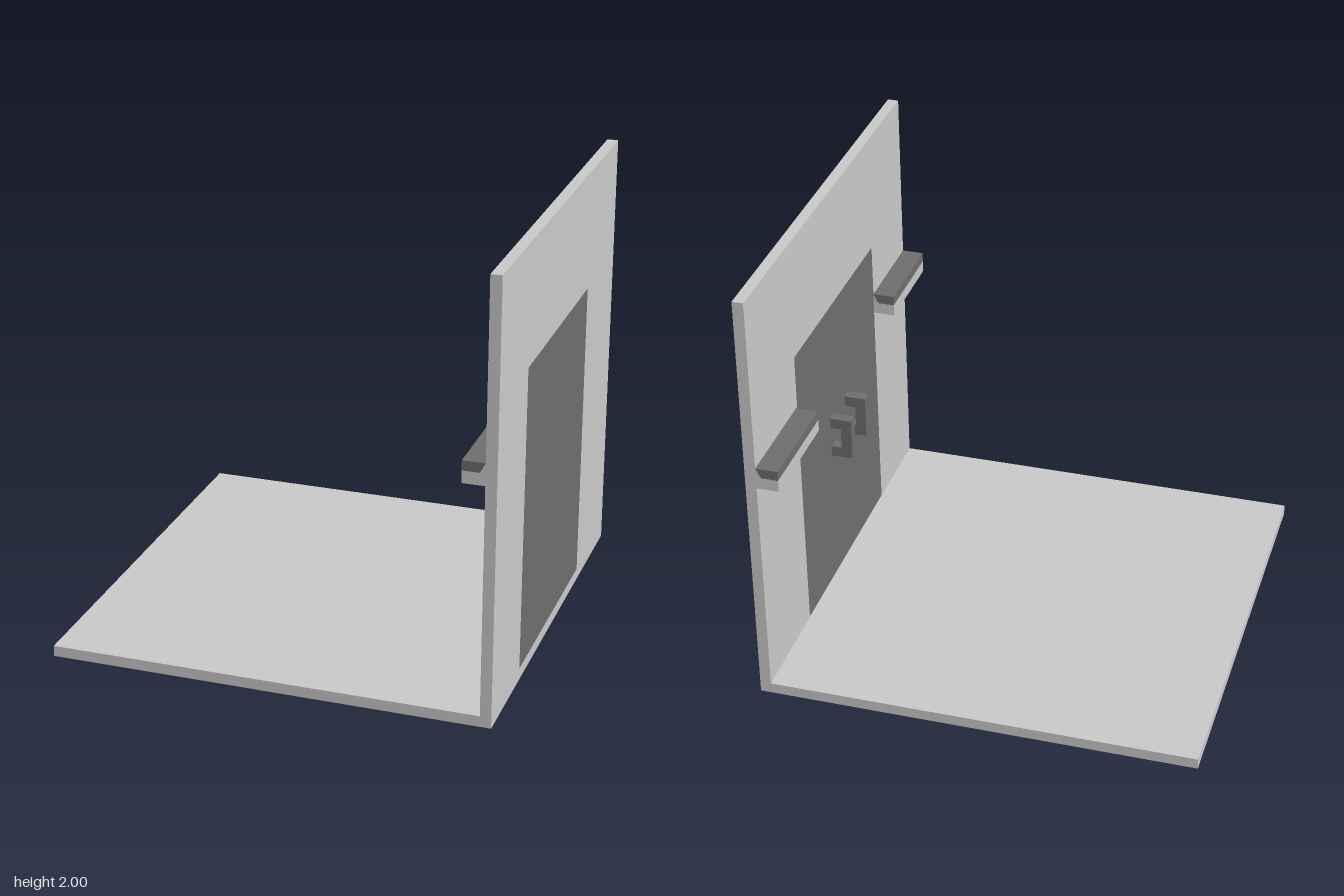
import * as THREE from 'three';

export function createModel() {
  const model = new THREE.Group();
  const lightGrey = new THREE.MeshStandardMaterial({ color: 0xc8c8c8 });
  lightGrey.name = 'lightGrey';
  const darkGrey = new THREE.MeshStandardMaterial({ color: 0x6d6d6d });
  darkGrey.name = 'darkGrey';

  const add = (name, geometry, material, parent = model) => {
    const mesh = new THREE.Mesh(geometry, material);
    mesh.name = name;
    parent.add(mesh);
    return mesh;
  };
  const extrude = (shape, depth) =>
    new THREE.ExtrudeGeometry(shape, { depth, bevelEnabled: false });
  const polygon = (points) => new THREE.Shape(points.map(([x, y]) => new THREE.Vector2(x, y)));

  const T = 0.05; // slab thickness
  const wallX = 1 - T; // inner face of the wall

  // Floor slab
  add('floor', new THREE.BoxGeometry(2 - T, T, 2).translate(-T / 2, T / 2, 0), lightGrey);

  // Wall with a doorway, and the door set flush in it (outlines in -z, y)
  const doorway = [
    [-0.55, 0.062], [-0.542, 0.054], [0.482, 0.054], [0.49, 0.062],
    [0.49, 1.442], [0.482, 1.45], [-0.542, 1.45], [-0.55, 1.442],
  ];
  const wallShape = polygon([[-1, 0], [1, 0], [1, 2], [-1, 2]]);
  wallShape.holes.push(polygon(doorway));
  const upright = (shape) => extrude(shape, T).rotateY(Math.PI / 2).translate(wallX, 0, 0);
  add('wall', upright(wallShape), lightGrey);
  add('door', upright(polygon(doorway)), darkGrey);

  // Rails either side of the door: light base with a dark cap
  const base = [[0.85, 1.1], [wallX, 1.1], [wallX, 1.2], [0.935, 1.17], [0.925, 1.155], [0.85, 1.155]];
  const cap = [[0.85, 1.155], [0.925, 1.155], [0.935, 1.17], [wallX, 1.2], [0.85, 1.2]];
  for (const [side, z0, z1] of [['back', -1, -0.5], ['front', 0.55, 1]]) {
    const rail = new THREE.Group();
    rail.name = side + 'Rail';
    add(side + 'RailBase', extrude(polygon(base), z1 - z0).translate(0, 0, z0), lightGrey, rail);
    add(side + 'RailCap', extrude(polygon(cap), z1 - z0).translate(0, 0, z0), darkGrey, rail);
    model.add(rail);
  }

  // Pair of C-shaped door handles
  const handle = [
    [0.85, 0.7], [wallX, 0.7], [wallX, 0.75], [0.9, 0.75],
    [0.9, 0.85], [wallX, 0.85], [wallX, 0.9], [0.85, 0.9],
  ];
  for (const [name, z] of [['backHandle', -0.1], ['frontHandle', 0.1]]) {
    add(name, extrude(polygon(handle), 0.05).translate(0, 0, z), darkGrey);
  }
  return model;
}
